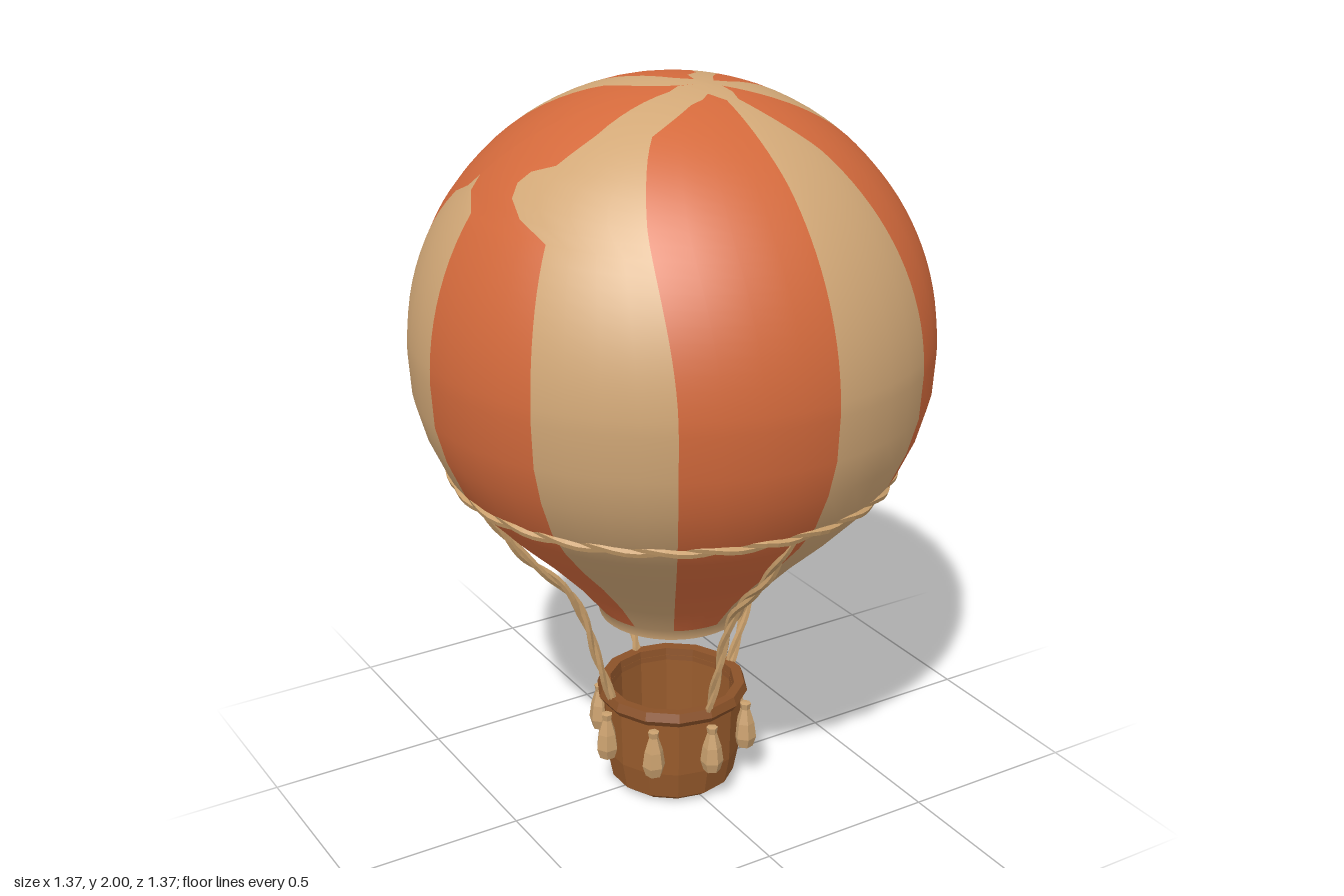
import * as THREE from 'three';

const mat = (name, color, opts = {}) => {
  const m = new THREE.MeshStandardMaterial({ color, ...opts });
  m.name = name;
  return m;
};
const R = 0.685, CY = 1.315;        // envelope sphere
const PX = 0.05, PZ = 0.09;         // point where the stripes meet at the crown

// Stripe edges: angle at the equator (degrees from +z towards +x), then plan points (x, z) up to the tip.
// Cloth between edges 0-1, 2-3, 4-5 ... is orange.
const EDGES = [
  [-30, [-0.32, 0.42], [-0.27, 0.33], [-0.2, 0.24], [-0.05, 0.18], [0, 0.165]],
  [4, [0.04, 0.45], [0.04, 0.18], [0, 0.165]],
  [34, [0.2, 0.35], [0.07, 0.17], [0.085, 0.11]],
  [64, [0.53, 0.2], [0.45, 0.15], [0.15, 0.14], [0.085, 0.11]],
  [111, [0.53, -0.15], [0.5, -0.05], [0.2, 0.05], [0.12, 0.07], [0.1, 0.05]],
  [147, [0.35, -0.5], [0.3, -0.4], [0.33, -0.32], [0.25, -0.15], [0.1, 0.03], [0.1, 0.05]],
  [176.5, [0.04, -0.5], [0.1, -0.48], [0.16, -0.42], [0.14, -0.2], [0.09, -0.03], [0.03, 0.04]],
  [182, [-0.03, -0.5], [-0.1, -0.48], [-0.14, -0.43], [-0.1, -0.2], [0, 0.03], [0.03, 0.04]],
  [210, [-0.27, -0.48], [-0.3, -0.4], [-0.35, -0.33], [-0.3, -0.28], [-0.15, -0.08], [-0.03, 0.08]],
  [241, [-0.53, -0.28], [-0.5, -0.2], [-0.5, -0.13], [-0.03, 0.08]],
  [269, [-0.53, -0.03], [-0.5, -0.13], [-0.03, 0.08]],
  [300, [-0.49, 0.25], [-0.51, 0.12], [-0.48, 0.06], [-0.43, 0.08], [-0.4, 0.13], [-0.3, 0.14], [-0.05, 0.1], [-0.03, 0.08]],
];

// Plan point -> [s, angle], with s = 0 at the crown and 1 at the equator
function toPolar([x, z], near) {
  const dx = x - PX, dz = z - PZ;
  const a = R * R - PX * PX - PZ * PZ, b = dx * PX + dz * PZ, c = dx * dx + dz * dz;
  const s = (b + Math.sqrt(b * b + a * c)) / a;
  let az = Math.atan2(x - PX * (1 - s), z - PZ * (1 - s));
  while (az - near > Math.PI) az -= 2 * Math.PI;
  while (az - near < -Math.PI) az += 2 * Math.PI;
  return [s, az];
}
const edges = EDGES.map(([deg, ...pts]) => {
  const eq = THREE.MathUtils.degToRad(deg);
  return [[1, eq], ...pts.map(p => toPolar(p, eq))].sort((p, q) => p[0] - q[0]);
});
function edgeAngle(e, s) {
  if (s <= e[0][0]) return e[0][1];
  for (let i = 1; i < e.length; i++) {
    if (s <= e[i][0]) {
      const t = (s - e[i - 1][0]) / (e[i][0] - e[i - 1][0] || 1);
      return THREE.MathUtils.lerp(e[i - 1][1], e[i][1], t);
    }
  }
  return e[e.length - 1][1];
}

function envelopeGeometry() {
  const SEG = 4, COLS = edges.length * SEG, UP = 28;
  const lower = [[0.678, 1.2], [0.65, 1.1], [0.605, 1.0], [0.545, 0.92], [0.46, 0.83],
    [0.365, 0.74], [0.275, 0.645], [0.207, 0.56], [0.2, 0.53]];
  const pos = [], orange = [], tan = [];
  const rows = UP + 1 + lower.length;
  for (let r = 0; r < rows; r++) {
    const s = r <= UP ? Math.sin((r / UP) * Math.PI / 2) : 1;
    const angles = edges.map(e => edgeAngle(e, s));
    angles.push(angles[0] + 2 * Math.PI);
    for (let c = 0; c < COLS; c++) {
      const i = Math.floor(c / SEG);
      const az = THREE.MathUtils.lerp(angles[i], angles[i + 1], (c % SEG) / SEG);
      if (r <= UP) {
        const x = PX * (1 - s) + R * s * Math.sin(az), z = PZ * (1 - s) + R * s * Math.cos(az);
        pos.push(x, CY + Math.sqrt(Math.max(0, R * R - x * x - z * z)), z);
      } else {
        const [rad, y] = lower[r - UP - 1];
        pos.push(rad * Math.sin(az), y, rad * Math.cos(az));
      }
      if (r === rows - 1) continue;
      const a = r * COLS + c, b = r * COLS + (c + 1) % COLS, d = a + COLS, e = b + COLS;
      const list = i % 2 === 0 && r < rows - 2 ? orange : tan;
      list.push(a, d, e, a, e, b);
    }
  }
  const g = new THREE.BufferGeometry();
  g.setAttribute('position', new THREE.Float32BufferAttribute(pos, 3));
  g.setIndex([...orange, ...tan]);
  g.addGroup(0, orange.length, 0);
  g.addGroup(orange.length, tan.length, 1);
  g.computeVertexNormals();
  return g;
}

// Two strands wound round a path
function rope(name, path, turns, offset, radius, steps, material, closed) {
  const group = new THREE.Group();
  group.name = name;
  const frames = path.computeFrenetFrames(steps, closed);
  for (let k = 0; k < 2; k++) {
    const pts = [];
    for (let i = 0; i < (closed ? steps : steps + 1); i++) {
      const a = (i / steps) * turns * 2 * Math.PI + k * Math.PI;
      pts.push(path.getPointAt(i / steps)
        .addScaledVector(frames.normals[i], offset * Math.cos(a))
        .addScaledVector(frames.binormals[i], offset * Math.sin(a)));
    }
    const curve = new THREE.CatmullRomCurve3(pts, closed);
    const mesh = new THREE.Mesh(new THREE.TubeGeometry(curve, steps, radius, 5, closed), material);
    mesh.name = name + 'Strand';
    group.add(mesh);
  }
  return group;
}

const lathe = (pts, sides) =>
  new THREE.LatheGeometry(pts.map(p => new THREE.Vector2(p[0], p[1])), sides);

export function createModel() {
  const model = new THREE.Group();
  model.name = 'hotAirBalloon';
  const orange = mat('orangeCloth', 0xd46a3c);
  const tan = mat('tanCloth', 0xd2a877);
  const ropeMat = mat('rope', 0xc99f6b, { flatShading: true });
  const wicker = mat('wicker', 0x985b2c, { flatShading: true });
  const rimMat = mat('basketRim', 0x8a5128, { flatShading: true });
  const sack = mat('sackCloth', 0xc9a06e, { flatShading: true });
  const add = (name, geo, material, parent = model) => {
    const m = new THREE.Mesh(geo, material);
    m.name = name;
    parent.add(m);
    return m;
  };

  // Striped envelope and the cloth closing its neck
  add('envelope', envelopeGeometry(), [orange, tan]);
  const neck = add('neckCover', new THREE.CircleGeometry(0.2, 32), tan);
  neck.rotation.x = Math.PI / 2;
  neck.position.y = 0.53;

  // Rope hoop round the envelope
  const hoop = [];
  for (let i = 0; i < 32; i++) {
    const a = (i / 32) * Math.PI * 2;
    hoop.push(new THREE.Vector3(0.587 * Math.sin(a), 0.98, 0.587 * Math.cos(a)));
  }
  model.add(rope('hoop', new THREE.CatmullRomCurve3(hoop, true), 14, 0.007, 0.011, 120, ropeMat, true));

  // Four ropes from hoop to basket
  const line = new THREE.CatmullRomCurve3([[0.575, 0.975], [0.45, 0.795], [0.325, 0.66],
    [0.275, 0.56], [0.235, 0.42], [0.19, 0.28]].map(([r, y]) => new THREE.Vector3(0, y, r)));
  for (let i = 0; i < 4; i++) {
    const stay = rope('suspensionRope', line, 3, 0.006, 0.009, 28, ropeMat, false);
    stay.rotation.y = i * Math.PI / 2;
    model.add(stay);
  }

  // Hollow basket with a thick rim
  add('basket', lathe([[0, 0], [0.15, 0], [0.175, 0.02], [0.19, 0.1], [0.195, 0.28],
    [0.172, 0.28], [0.165, 0.04], [0, 0.04]], 14), wicker);
  add('rim', lathe([[0.17, 0.265], [0.2, 0.26], [0.212, 0.278], [0.203, 0.302],
    [0.175, 0.3], [0.17, 0.265]], 14), rimMat);

  // Sandbags hung round the basket
  const bagGeo = lathe([[0, 0.11], [0.023, 0.115], [0.032, 0.145], [0.026, 0.19],
    [0.013, 0.232], [0.016, 0.25], [0, 0.252]], 6);
  for (let i = 0; i < 8; i++) {
    const a = i * Math.PI / 4;
    const bag = add('sandbag', bagGeo, sack);
    bag.position.set(0.211 * Math.sin(a), 0, 0.211 * Math.cos(a));
    bag.rotation.y = a;
  }
  return model;
}
